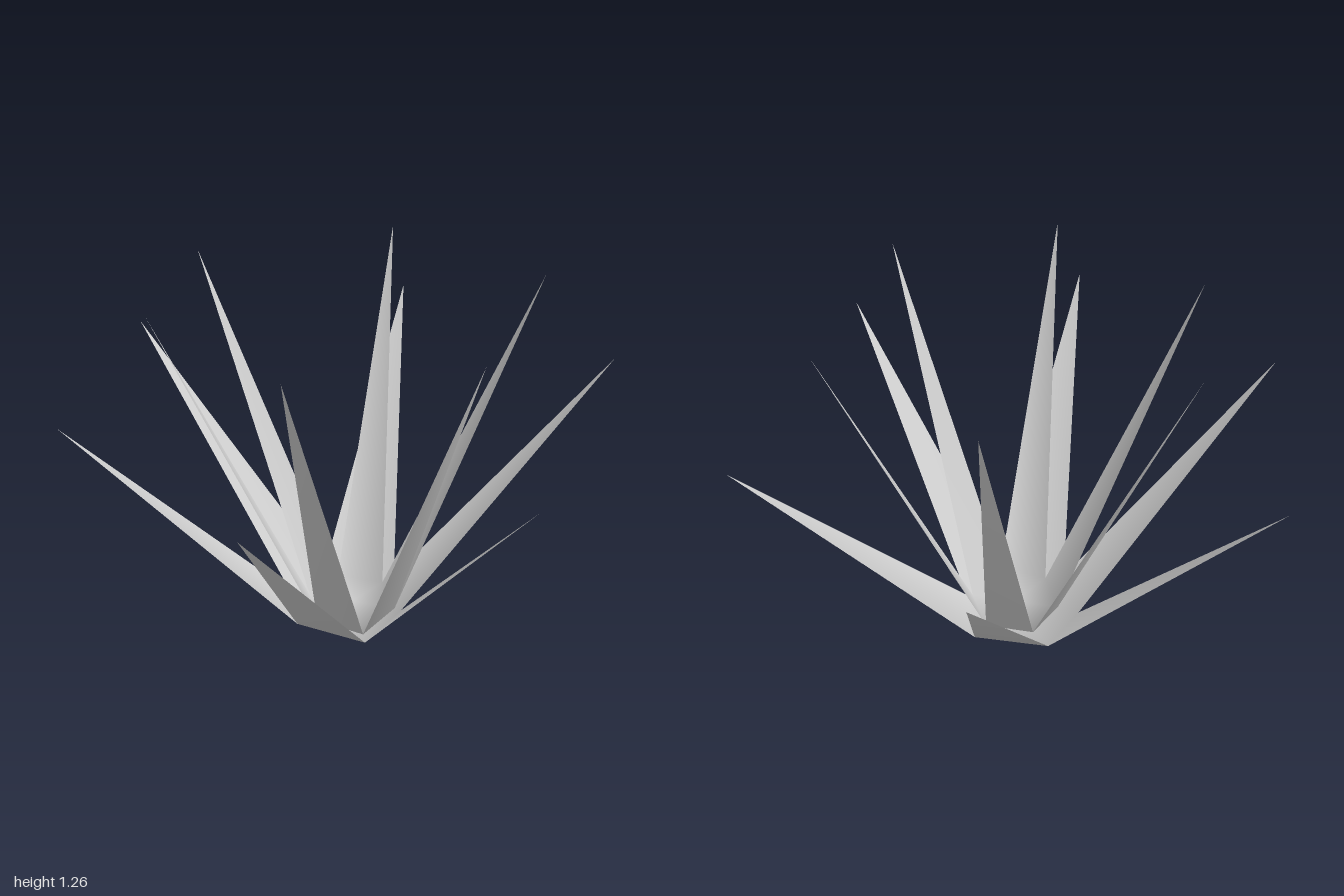
import * as THREE from 'three';

const material = new THREE.MeshStandardMaterial({ color: 0xcccccc, side: THREE.DoubleSide });

// A leaf whorl: a flat base polygon with one pointed leaf rising from each side.
// valleys and tips are [x, z] pairs running from the front round by the left.
function whorl(name, valleys, tips, baseY, tipY) {
  const n = valleys.length;
  const positions = [0, baseY, 0];
  for (const [x, z] of valleys) positions.push(x, baseY, z);
  for (const [x, z] of tips) positions.push(x, tipY, z);

  const index = [];
  for (let i = 0; i < n; i++) {
    const a = 1 + i;
    const b = 1 + (i + 1) % n;
    index.push(0, a, b); // base
    index.push(a, 1 + n + i, b); // leaf
  }

  const geometry = new THREE.BufferGeometry();
  geometry.setAttribute('position', new THREE.Float32BufferAttribute(positions, 3));
  geometry.setIndex(index);
  geometry.computeVertexNormals(); // shared corners give smooth shading
  const mesh = new THREE.Mesh(geometry, material);
  mesh.name = name;
  return mesh;
}

export function createModel() {
  const plant = new THREE.Group();
  plant.name = 'spikyPlant';

  // Low, wide-spreading leaves
  plant.add(whorl('outerLeaves',
    [[-0.11, 0.24], [0.12, 0.15], [0.24, -0.06], [0.055, -0.27], [-0.155, -0.2], [-0.25, 0]],
    [[0.005, 0.995], [0.97, 0.31], [0.755, -0.72], [-0.32, -1], [-0.97, -0.34], [-0.835, 0.62]],
    0, 0.89));

  // Taller, steeper leaves
  plant.add(whorl('innerLeaves',
    [[-0.09, 0.2], [0.105, 0.13], [0.17, -0.04], [0.055, -0.18], [-0.11, -0.13], [-0.18, 0.03]],
    [[0.005, 0.71], [0.66, 0.24], [0.52, -0.48], [-0.225, -0.67], [-0.67, -0.225], [-0.575, 0.46]],
    0.005, 1.265));

  return plant;
}
